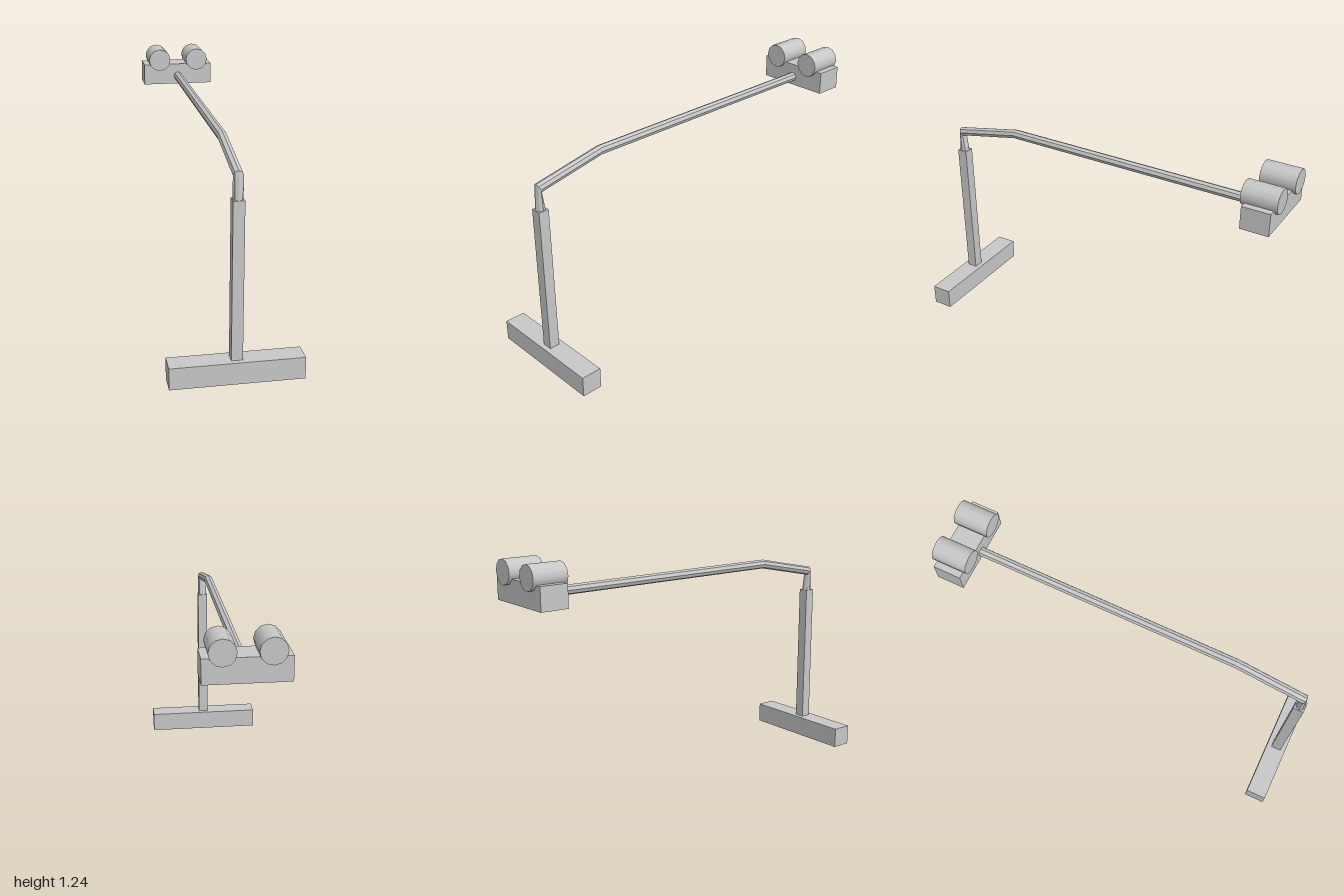
import * as THREE from 'three';

const grey = new THREE.MeshStandardMaterial({ color: 0xc8c8c8 });
grey.name = 'grey metal';

function box(name, w, h, d, x, y, z) {
  const mesh = new THREE.Mesh(new THREE.BoxGeometry(w, h, d), grey);
  mesh.name = name;
  mesh.position.set(x, y, z);
  return mesh;
}

// Octagonal bent tube lofted through rings: centre (y, z) and half-axis (uy, uz) in the side plane
function armGeometry() {
  const sides = 8, halfWidth = 0.025;
  const rings = [
    { y: 0.885, z: 0.946, uy: 0, uz: 0.025 },
    { y: 1.002, z: 0.949, uy: 0.023, uz: 0.01 },
    { y: 1.077, z: 0.58, uy: 0.025, uz: 0 },
    { y: 1.077, z: -0.85, uy: 0.025, uz: 0 },
  ];
  const pos = [], index = [];
  for (const r of rings) {
    for (let i = 0; i < sides; i++) {
      const a = (i / sides) * Math.PI * 2, s = Math.sin(a);
      pos.push(Math.cos(a) * halfWidth, r.y + s * r.uy, r.z + s * r.uz);
    }
  }
  for (let k = 0; k < rings.length - 1; k++) {
    for (let i = 0; i < sides; i++) {
      const j = (i + 1) % sides, a = k * sides + i, b = k * sides + j;
      index.push(a, a + sides, b, b, a + sides, b + sides);
    }
  }
  // End caps
  const last = (rings.length - 1) * sides;
  for (let i = 1; i < sides - 1; i++) {
    index.push(0, i, i + 1, last, last + i + 1, last + i);
  }
  const geo = new THREE.BufferGeometry();
  geo.setAttribute('position', new THREE.Float32BufferAttribute(pos, 3));
  geo.setIndex(index);
  const flat = geo.toNonIndexed();
  flat.computeVertexNormals();
  return flat;
}

export function createModel() {
  const model = new THREE.Group();
  model.name = 'cantilever signal post';

  // Foot and upright
  model.add(box('base', 0.646, 0.11, 0.108, 0, 0.055, 0.946));
  model.add(box('post', 0.055, 0.78, 0.055, 0, 0.5, 0.946));

  // Bent overhead arm
  const arm = new THREE.Mesh(armGeometry(), grey);
  arm.name = 'arm';
  model.add(arm);

  // Head block with two lamp barrels
  model.add(box('headBlock', 0.405, 0.12, 0.147, 0, 1.09, -0.909));
  const barrel = new THREE.CylinderGeometry(0.064, 0.064, 0.185, 12).rotateX(Math.PI / 2);
  for (const side of [1, -1]) {
    const lamp = new THREE.Mesh(barrel, grey);
    lamp.name = side > 0 ? 'leftLamp' : 'rightLamp';
    lamp.position.set(side * 0.111, 1.178, -0.9075);
    model.add(lamp);
  }
  return model;
}
